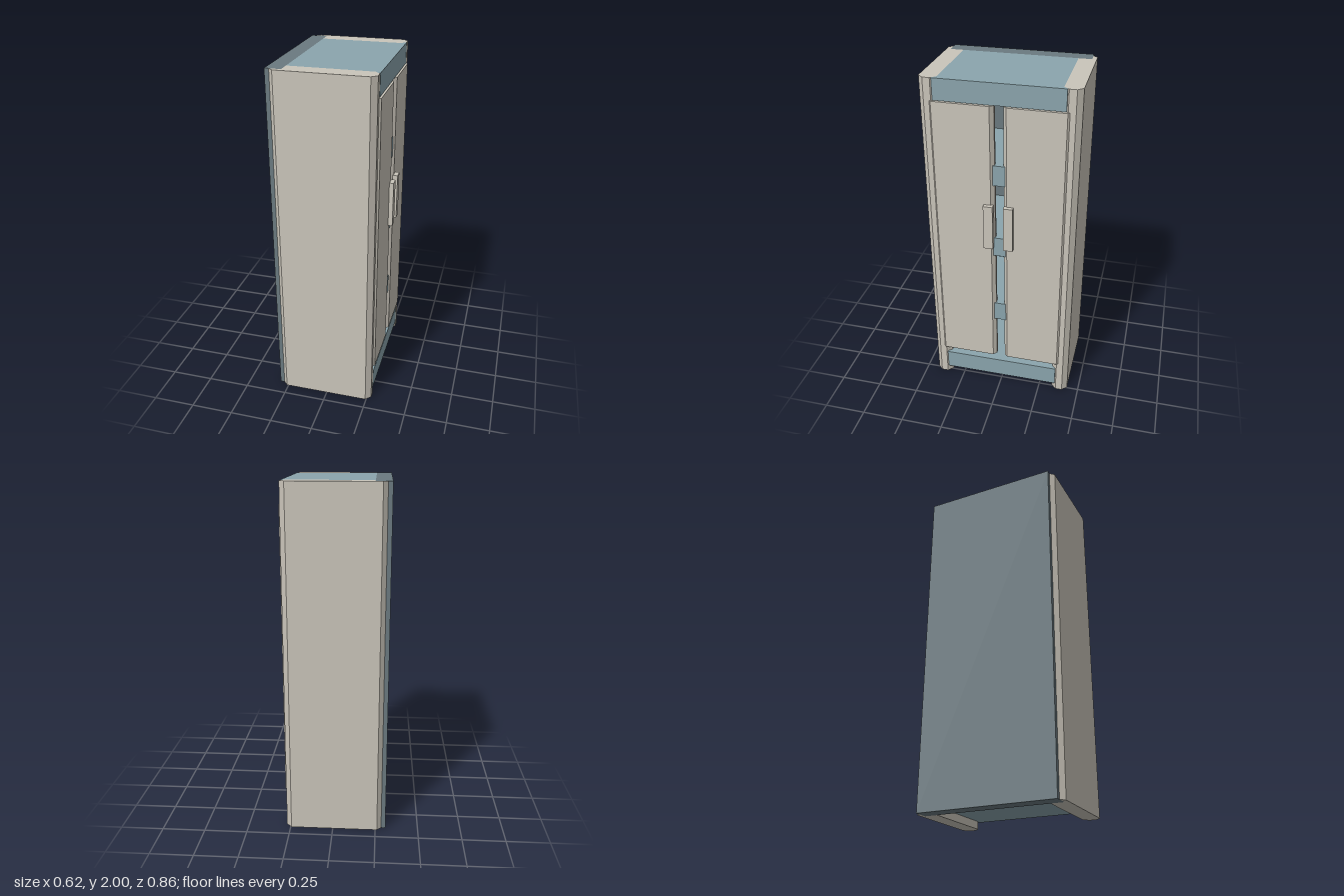
import * as THREE from 'three';

const material = (name, color) => {
  const m = new THREE.MeshStandardMaterial({ color });
  m.name = name;
  return m;
};

export function createModel() {
  const group = new THREE.Group();
  const cream = material('cream', 0xcac5ba);
  const blue = material('greyBlue', 0x8ba5ad);
  const slate = material('slate', 0x6b7a80);

  // Upright prism from a plan outline of [x, z] points
  const prism = (name, mat, outline, y0, y1, side = 1) => {
    const shape = new THREE.Shape(outline.map(([x, z]) => new THREE.Vector2(x, -z * side)));
    const geo = new THREE.ExtrudeGeometry(shape, { depth: y1 - y0, bevelEnabled: false });
    geo.rotateX(-Math.PI / 2);
    geo.translate(0, y0, 0);
    const mesh = new THREE.Mesh(geo, mat);
    mesh.name = name;
    group.add(mesh);
  };
  const box = (name, mat, x0, x1, y0, y1, z0, z1) => {
    const mesh = new THREE.Mesh(new THREE.BoxGeometry(x1 - x0, y1 - y0, z1 - z0), mat);
    mesh.position.set((x0 + x1) / 2, (y0 + y1) / 2, (z0 + z1) / 2);
    mesh.name = name;
    group.add(mesh);
  };

  // Back board
  box('backPanel', slate, -0.31, -0.22, 0, 2, -0.405, 0.405);

  // Top and base boards, flared at the front to meet the side chamfers
  const deck = [
    [-0.22, -0.33], [0.245, -0.33], [0.267, -0.352], [0.275, -0.352],
    [0.275, 0.352], [0.267, 0.352], [0.245, 0.33], [-0.22, 0.33],
  ];
  prism('topBoard', blue, deck, 1.88, 2);
  prism('baseBoard', blue, deck, 0.045, 0.165);

  // Inner shelves, seen through the gap between the doors
  for (const y of [0.5, 0.965, 1.42]) box('shelf', blue, -0.22, 0.275, y, y + 0.12, -0.33, 0.33);

  // Chamfered side panels, doors and handles on both sides
  const panel = [
    [-0.22, 0.33], [0.245, 0.33], [0.275, 0.36], [0.275, 0.4],
    [0.245, 0.43], [-0.26, 0.43], [-0.285, 0.405], [-0.22, 0.405],
  ];
  const door = [
    [0.225, 0.045], [0.245, 0.025], [0.265, 0.025], [0.285, 0.045],
    [0.285, 0.36], [0.272, 0.372], [0.245, 0.372], [0.225, 0.36],
  ];
  const handle = [[0.28, 0.03], [0.31, 0.03], [0.31, 0.084], [0.28, 0.084]];
  for (const [label, side] of [['right', 1], ['left', -1]]) {
    prism(label + 'SidePanel', cream, panel, 0, 2, side);
    prism(label + 'Door', cream, door, 0.215, 1.877, side);
    prism(label + 'Handle', cream, handle, 1.03, 1.302, side);
  }
  return group;
}
